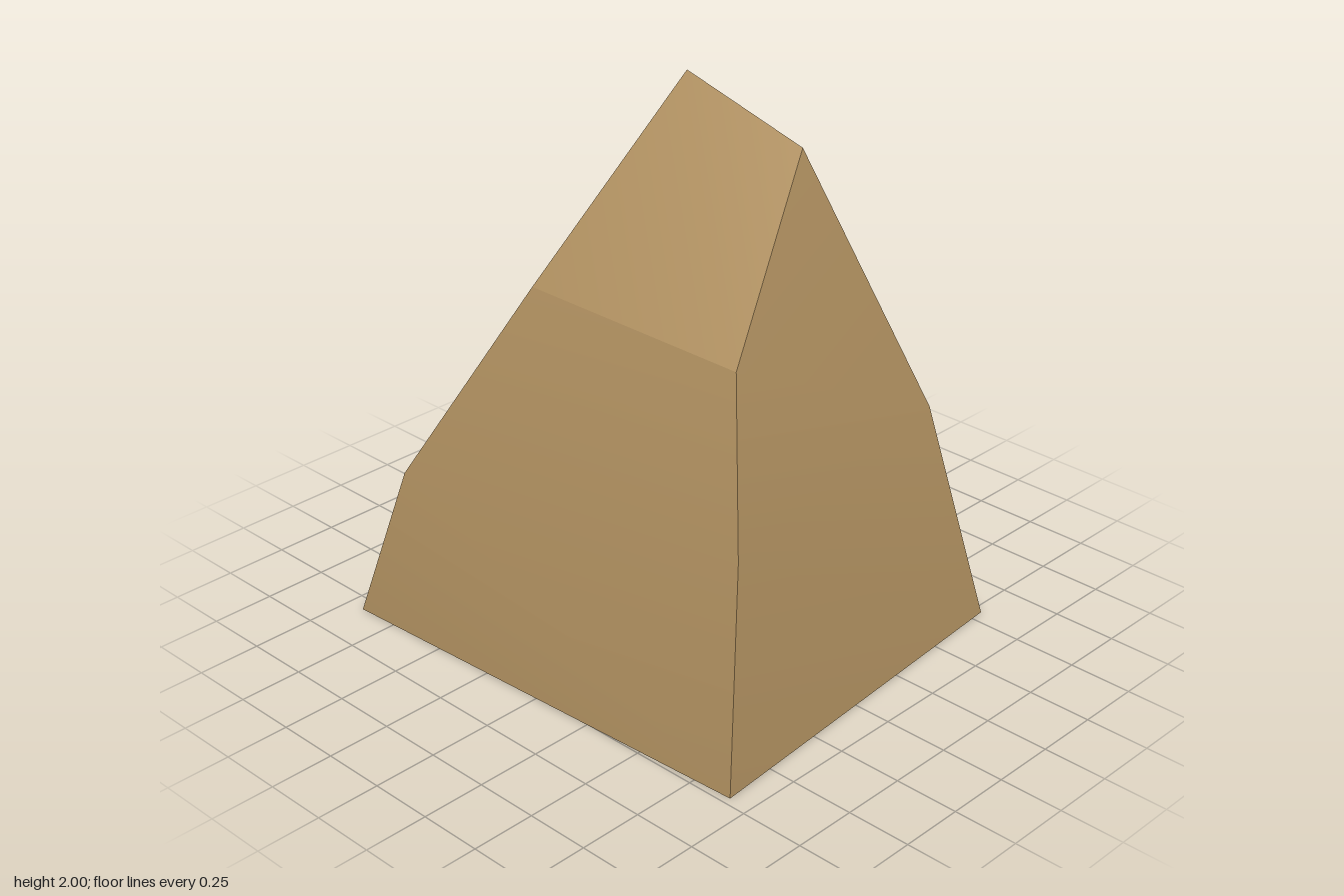
import * as THREE from 'three';

const v = (x, y, z) => new THREE.Vector3(x, y, z);

// Corner edges of the rock, each listed from the ground up
const frontRight = [v(-0.92, 0, 0.81), v(-0.77, 0.6, 0.69), v(-0.47, 1.32, 0.3)];
const frontLeft = [v(0.91, 0, 0.72), v(0.77, 0.78, 0.54), v(0.53, 1.32, 0.3)];
const backLeft = [v(0.785, 0, -0.81), v(0.56, 0.83, -0.72), v(0.13, 1.8, -0.47)];
const backRight = [v(-0.85, 0, -0.69), v(-0.65, 1.04, -0.54), v(-0.35, 2, -0.375)];

// Smooth-shaded strip between two edges (left and right as seen from outside)
function side(name, left, right, material) {
  const points = left.flatMap((p, i) => [p, right[i]]);
  const index = [];
  for (let i = 0; i + 1 < left.length; i++) {
    const [a, b, d, c] = [2 * i, 2 * i + 1, 2 * i + 2, 2 * i + 3];
    // Pick the diagonal that keeps the surface convex
    const plane = new THREE.Plane().setFromCoplanarPoints(points[a], points[b], points[d]);
    if (plane.distanceToPoint(points[c]) <= 0) index.push(a, b, d, b, c, d);
    else index.push(a, b, c, a, c, d);
  }
  const geometry = new THREE.BufferGeometry().setFromPoints(points);
  geometry.setIndex(index);
  geometry.computeVertexNormals();
  const mesh = new THREE.Mesh(geometry, material);
  mesh.name = name;
  return mesh;
}

export function createModel() {
  const group = new THREE.Group();
  group.name = 'rock';
  const stone = new THREE.MeshStandardMaterial({ color: 0xab8c5d, side: THREE.DoubleSide });
  stone.name = 'sandstone';

  // Four walls, open underneath
  group.add(
    side('frontFace', frontRight, frontLeft, stone),
    side('leftFace', frontLeft, backLeft, stone),
    side('backFace', backLeft, backRight, stone),
    side('rightFace', backRight, frontRight, stone),
    // Sloping cap above the front wall
    side('topSlope', [frontRight[2], backRight[2]], [frontLeft[2], backLeft[2]], stone)
  );
  return group;
}
